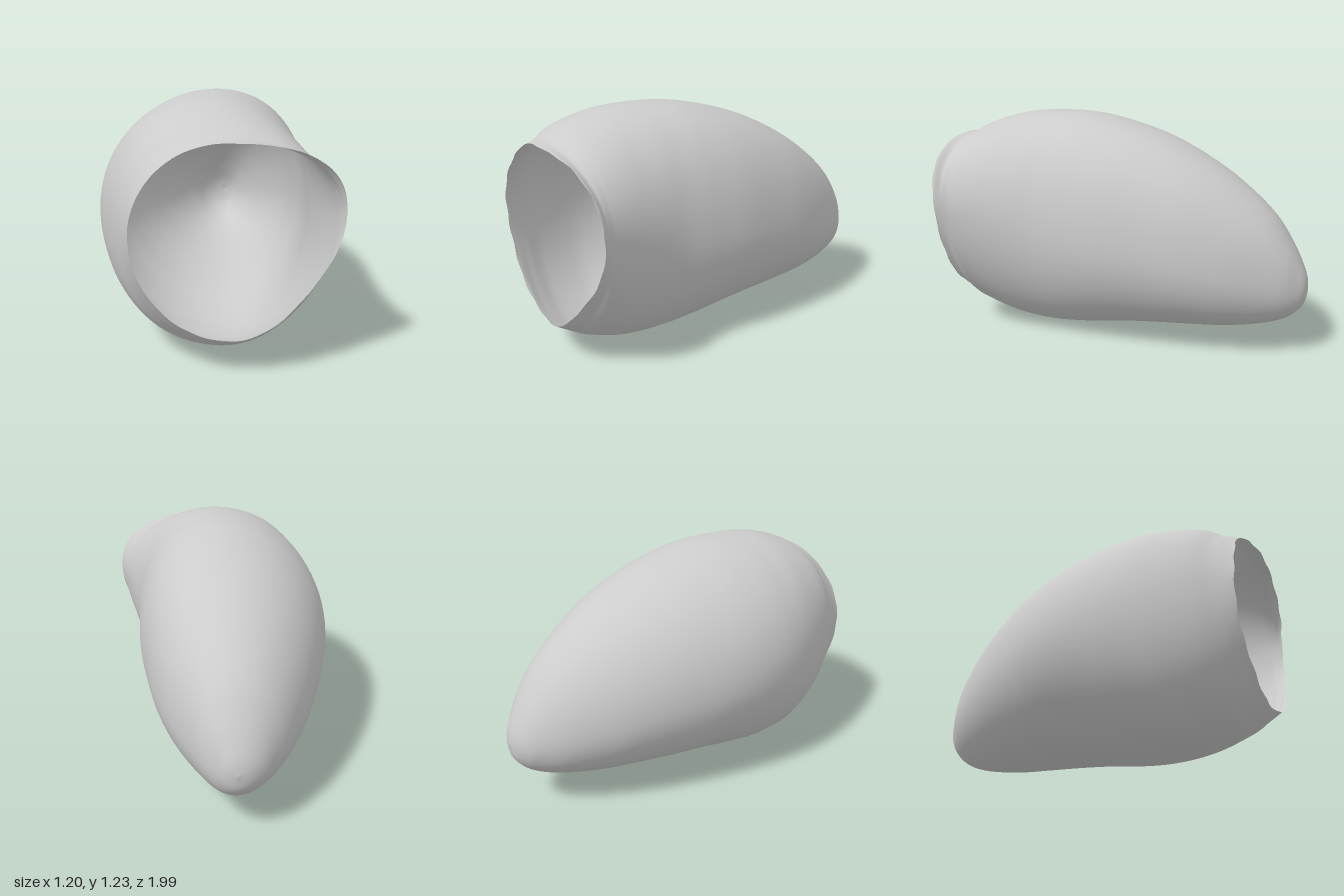
import * as THREE from 'three';
import { mergeVertices } from 'three/addons/utils/BufferGeometryUtils.js';

// Cross-sections from the closed tip to the open mouth:
// z, left edge x, right edge x, bottom y, top y, x of the ridge, y of left edge, y of right edge
const SECTIONS = [
  [-1.0, 0, 0, 0.37, 0.37, 0, 0.37, 0.37],
  [-0.985, -0.07, 0.055, 0.29, 0.44, 0, 0.37, 0.37],
  [-0.95, -0.13, 0.10, 0.24, 0.52, 0, 0.37, 0.37],
  [-0.9, -0.18, 0.15, 0.2, 0.61, 0, 0.39, 0.39],
  [-0.8, -0.265, 0.215, 0.16, 0.745, 0, 0.42, 0.42],
  [-0.6, -0.38, 0.32, 0.12, 0.91, 0, 0.47, 0.47],
  [-0.4, -0.465, 0.39, 0.10, 1.03, 0, 0.52, 0.52],
  [-0.2, -0.53, 0.43, 0.08, 1.12, 0, 0.56, 0.56],
  [0, -0.58, 0.46, 0.055, 1.18, 0, 0.59, 0.59],
  [0.2, -0.6, 0.47, 0.02, 1.218, 0, 0.61, 0.61],
  [0.4, -0.585, 0.478, 0, 1.225, 0, 0.62, 0.64],
  [0.6, -0.53, 0.515, 0.015, 1.21, 0.01, 0.63, 0.68],
  [0.8, -0.445, 0.57, 0.085, 1.155, 0.04, 0.65, 0.73],
  [0.9, -0.39, 0.585, 0.145, 1.1, 0.07, 0.66, 0.75],
  [0.96, -0.35, 0.6, 0.185, 1.09, 0.09, 0.67, 0.76],
];

// Fullness of each quarter at the sections, as a share of its radius
const FULLNESS = {
  upperRight: [0.03, 0.03, 0.03, 0.03, 0.03, 0.03, 0.04, 0.04, 0.04, 0.035, 0.025, 0, -0.01, 0.02, 0.07],
  upperLeft: [0, 0, 0, 0, 0, 0, 0, 0, -0.01, -0.01, 0, 0.02, 0.04, 0.03, 0],
  lowerLeft: [0, 0, 0, 0, 0, 0, 0, 0, -0.015, -0.015, 0, 0.02, 0.03, 0.02, -0.01],
  lowerRight: [0, 0, 0, 0, 0, 0, 0, 0, 0, 0, 0, -0.01, -0.03, -0.06, -0.08],
};

// Slant of the mouth: z of the last section on each rail
const MOUTH_Z = { left: 0.99, right: 0.865, bottom: 0.96, top: 0.96 };

function rail(name, xCol, yCol) {
  return new THREE.CatmullRomCurve3(SECTIONS.map((s, i) =>
    new THREE.Vector3(s[xCol], s[yCol], i === SECTIONS.length - 1 ? MOUTH_Z[name] : Math.min(s[0], MOUTH_Z[name] - 0.03))));
}

function fullnessAt(list, t) {
  const u = t * (list.length - 1), i = Math.min(Math.floor(u), list.length - 2);
  return THREE.MathUtils.lerp(list[i], list[i + 1], THREE.MathUtils.smoothstep(u - i, 0, 1));
}

function shellGeometry(rows, cols) {
  const left = rail('left', 1, 6), right = rail('right', 2, 7);
  const bottom = rail('bottom', 5, 3), top = rail('top', 5, 4);
  const pos = [], index = [];
  for (let i = 0; i <= rows; i++) {
    const t = i / rows;
    const L = left.getPoint(t), R = right.getPoint(t);
    const B = bottom.getPoint(t), T = top.getPoint(t);
    for (let j = 0; j < cols; j++) {
      // Four quarter ellipses joined at the rails
      const a = (j / cols) * Math.PI * 2, c = Math.cos(a), s = Math.sin(a);
      const H = c > 0 ? R : L, V = s > 0 ? T : B;
      const quarter = (s > 0 ? 'upper' : 'lower') + (c > 0 ? 'Right' : 'Left');
      const k = 1 + fullnessAt(FULLNESS[quarter], t) * Math.sin(2 * a) ** 2;
      // The widest line slides smoothly from the left height to the right height
      const midY = THREE.MathUtils.lerp(L.y, R.y, (c + 1) / 2);
      const x = V.x + Math.abs(c) * (H.x - V.x) * k;
      const y = midY + Math.abs(s) * (V.y - midY) * k;
      let z = H.z * c * c + V.z * s * s;
      // Slightly ragged rim
      if (i === rows) z += 0.004 * Math.sin(a * 5) + 0.003 * Math.sin(a * 17 + 1);
      pos.push(x, y, z);
      if (i < rows) {
        const p = i * cols + j, q = i * cols + (j + 1) % cols;
        if (i > 0) index.push(p, q, p + cols);
        index.push(q, q + cols, p + cols);
      }
    }
  }
  let g = new THREE.BufferGeometry();
  g.setAttribute('position', new THREE.Float32BufferAttribute(pos, 3));
  g.setIndex(index);
  g = mergeVertices(g, 1e-5);
  g.computeVertexNormals();
  return g;
}

export function createModel() {
  const group = new THREE.Group();
  group.name = 'hollowPouch';
  // Thin open shell, seen from inside and outside
  const material = new THREE.MeshStandardMaterial({ color: 0xcccccc, side: THREE.DoubleSide });
  const shell = new THREE.Mesh(shellGeometry(112, 96), material);
  shell.name = 'pouchShell';
  group.add(shell);
  return group;
}
